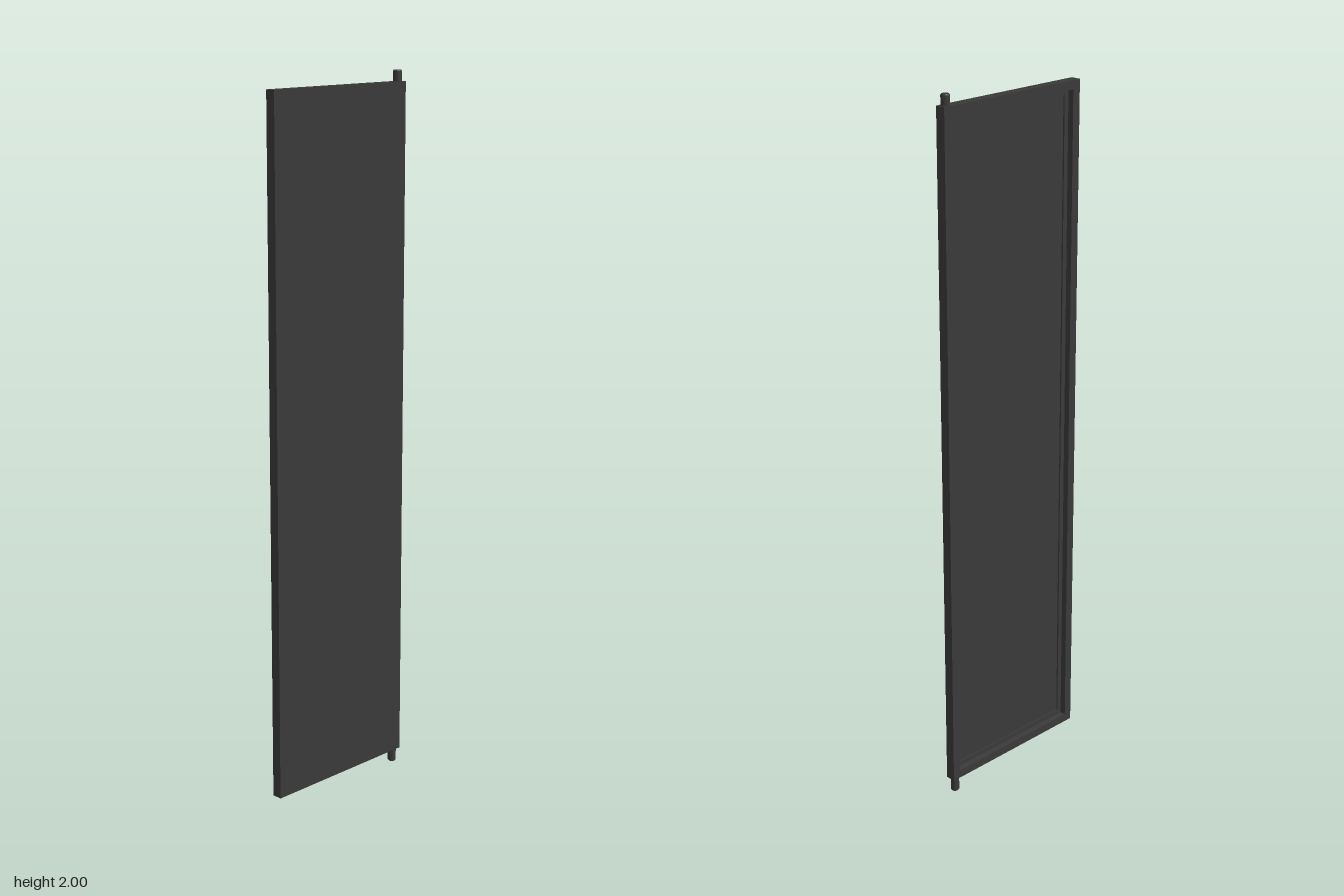
import * as THREE from 'three';

const material = new THREE.MeshStandardMaterial({ color: 0x3a3a3a });
const LEFT = -0.239, RIGHT = 0.239, BOTTOM = 0.04, TOP = 1.97;

// Rectangle path inset from the outline of the door
function rectangle(PathType, inset) {
  const l = LEFT + inset, r = RIGHT - inset, b = BOTTOM + inset, t = TOP - inset;
  return new PathType([[l, b], [r, b], [r, t], [l, t]].map(([x, y]) => new THREE.Vector2(x, y)));
}

// Rectangular ring between two insets, running from zBack to zFront
function ring(name, outer, inner, zBack, zFront) {
  const shape = rectangle(THREE.Shape, outer);
  shape.holes.push(rectangle(THREE.Path, inner));
  const geometry = new THREE.ExtrudeGeometry(shape, { depth: zFront - zBack, bevelEnabled: false });
  geometry.translate(0, 0, zBack);
  const mesh = new THREE.Mesh(geometry, material);
  mesh.name = name;
  return mesh;
}

export function createModel() {
  const door = new THREE.Group();
  door.name = 'pivotDoor';

  // Flat front sheet
  const sheet = new THREE.Mesh(
    new THREE.BoxGeometry(RIGHT - LEFT, TOP - BOTTOM, 0.007), material);
  sheet.name = 'frontPanel';
  sheet.position.set(0, (TOP + BOTTOM) / 2, 0.011);
  door.add(sheet);

  // Raised rim on the back, with a lower lip inside it
  door.add(ring('backFrame', 0, 0.024, -0.0145, 0.0075));
  door.add(ring('innerLip', 0.024, 0.038, 0.003, 0.0075));

  // Pivot pins above and below the hinge edge, with chamfered ends
  const addPin = (name, base, tip) => {
    const h = Math.abs(tip - base);
    const profile = [[0, 0], [0.012, 0], [0.012, h - 0.003], [0.010, h], [0, h]]
      .map(([x, y]) => new THREE.Vector2(x, y));
    const geometry = new THREE.LatheGeometry(profile, 24).toNonIndexed();
    geometry.computeVertexNormals();
    const pin = new THREE.Mesh(geometry, material);
    pin.name = name;
    pin.position.set(0.224, base, -0.0025);
    if (tip < base) pin.rotation.x = Math.PI;
    door.add(pin);
  };
  addPin('topPivotPin', TOP - 0.005, 2);
  addPin('bottomPivotPin', BOTTOM + 0.005, 0);

  return door;
}
